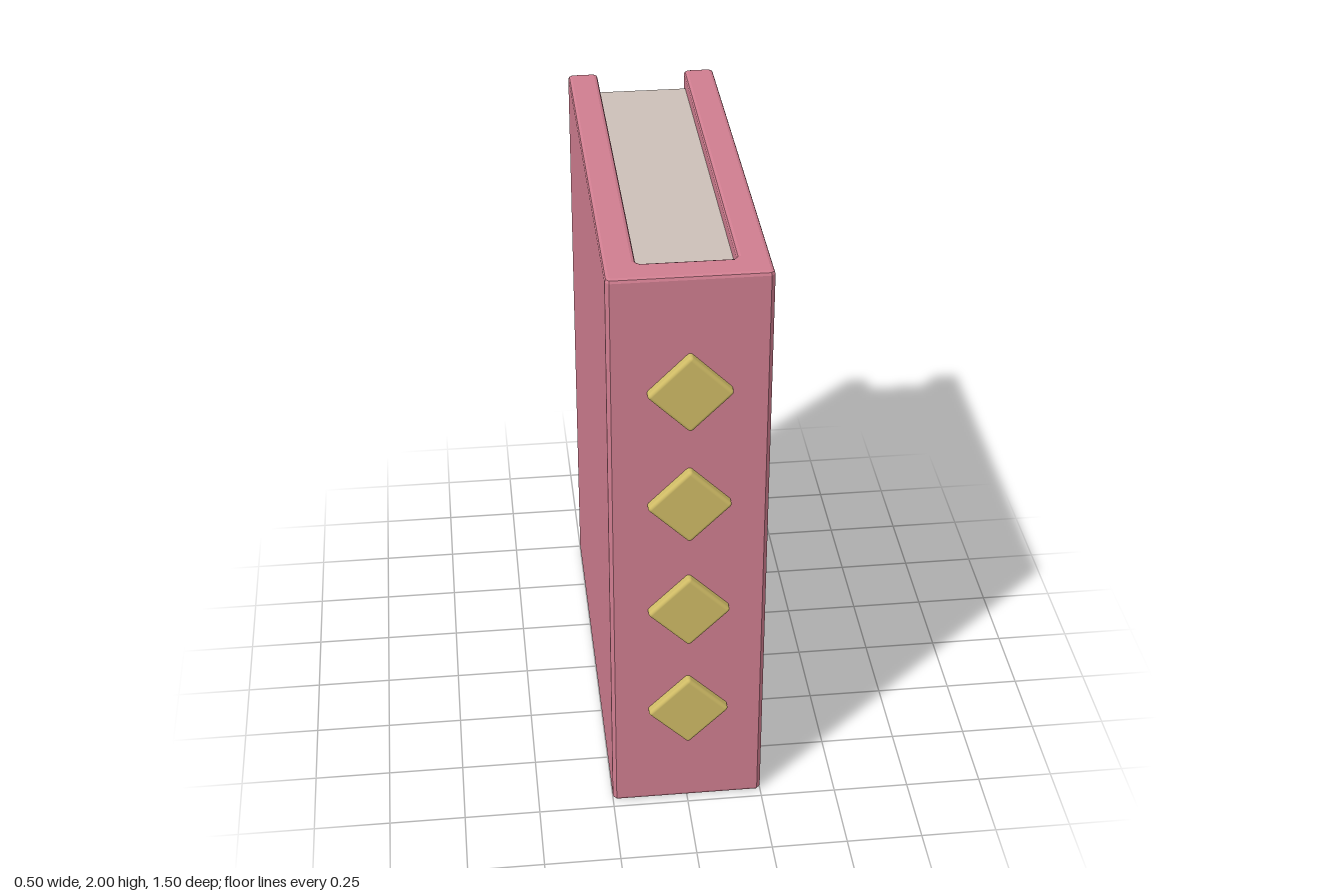
import * as THREE from 'three';
import { RoundedBoxGeometry } from 'three/addons/geometries/RoundedBoxGeometry.js';

const material = (name, color) => {
  const m = new THREE.MeshStandardMaterial({ color });
  m.name = name;
  return m;
};

// Outline through the points, with every corner cut by a small chamfer
function chamferedShape(points, cut) {
  const out = [];
  points.forEach((p, i) => {
    const prev = points[(i + points.length - 1) % points.length];
    const next = points[(i + 1) % points.length];
    for (const q of [prev, next]) {
      const dir = q.clone().sub(p).normalize();
      out.push(p.clone().addScaledVector(dir, cut));
    }
  });
  return new THREE.Shape(out);
}

export function createModel() {
  const book = new THREE.Group();
  book.name = 'book';
  const rose = material('rose cover', 0xd07e90);
  const paper = material('paper', 0xcdc0b8);
  const gold = material('gold', 0xd0bc66);

  const add = (name, geometry, mat, x, y, z) => {
    const mesh = new THREE.Mesh(geometry, mat);
    mesh.name = name;
    mesh.position.set(x, y, z);
    book.add(mesh);
    return mesh;
  };

  // Cover: U-shaped plan (two boards and the spine) extruded upward
  const bevel = 0.012;
  const plan = [
    [-0.25, -0.72], [0.25, -0.72], [0.25, 0.75], [0.15, 0.75],
    [0.15, -0.62], [-0.15, -0.62], [-0.15, 0.75], [-0.25, 0.75],
  ].map(([x, y]) => new THREE.Vector2(x, y));
  const cover = new THREE.ExtrudeGeometry(chamferedShape(plan, bevel), {
    depth: 2 - 2 * bevel, bevelEnabled: true, bevelThickness: bevel,
    bevelSize: bevel, bevelOffset: -bevel, bevelSegments: 2,
  });
  cover.rotateX(-Math.PI / 2);
  add('cover', cover, rose, 0, bevel, 0);

  // Page block, recessed at the top, bottom and open edge
  add('pages', new THREE.BoxGeometry(0.302, 1.9, 1.33), paper, 0, 1, -0.035);

  // Four diamond studs down the spine
  for (let i = 0; i < 4; i++) {
    const stud = add('spineStud', new RoundedBoxGeometry(0.19, 0.19, 0.1, 3, 0.012),
      gold, 0, 0.39 + i * 0.407, 0.7);
    stud.rotation.z = Math.PI / 4;
  }
  return book;
}
